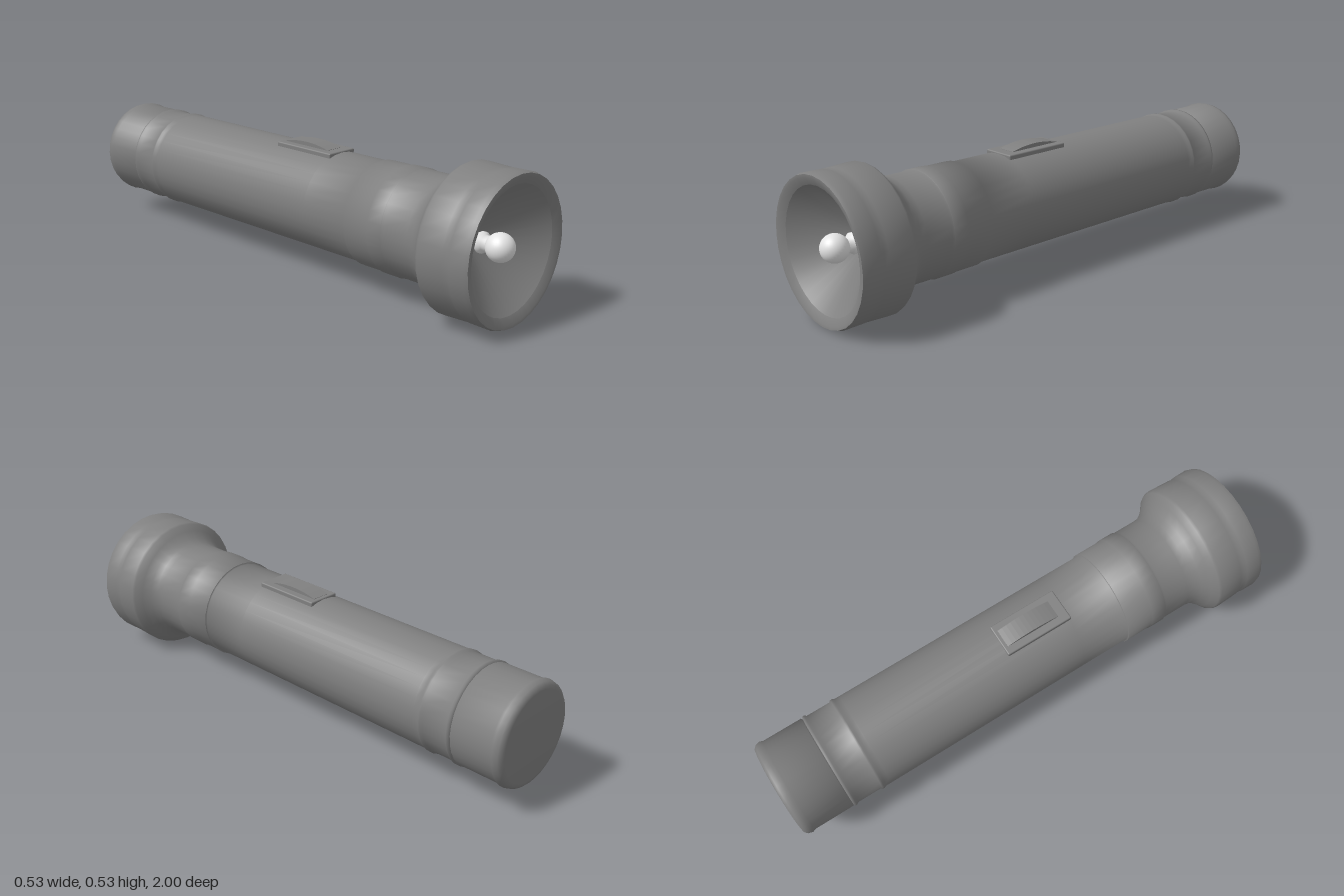
import * as THREE from 'three';
import { RoundedBoxGeometry } from 'three/addons/geometries/RoundedBoxGeometry.js';

const AXIS_Y = 0.27;
const SIDES = 32;

// Turned part along z from [radius, z] points, rear to front.
// Normals average both neighbouring slopes equally, giving soft shaded steps.
function turned(name, profile, material) {
  const pts = profile.map(([r, z]) => new THREE.Vector2(r, z));
  const geo = new THREE.LatheGeometry(pts, SIDES);
  const slopes = pts.slice(1).map((p, i) =>
    new THREE.Vector2(p.y - pts[i].y, pts[i].x - p.x).normalize());
  const n = pts.length;
  for (let i = 0; i <= SIDES; i++) {
    const a = (i / SIDES) * Math.PI * 2;
    for (let j = 0; j < n; j++) {
      const s = slopes[Math.max(j - 1, 0)].clone().add(slopes[Math.min(j, n - 2)]).normalize();
      geo.attributes.normal.setXYZ(i * n + j, s.x * Math.sin(a), s.y, s.x * Math.cos(a));
    }
  }
  geo.rotateX(Math.PI / 2);
  const mesh = new THREE.Mesh(geo, material);
  mesh.name = name;
  mesh.position.y = AXIS_Y;
  return mesh;
}

export function createModel() {
  const casing = new THREE.MeshStandardMaterial({ color: 0x808080 });
  casing.name = 'grey casing';
  const glass = new THREE.MeshStandardMaterial({ color: 0xe4e4e4 });
  glass.name = 'white bulb';

  const group = new THREE.Group();
  group.name = 'flashlight';

  // Tail cap with a small bead at its rear edge
  group.add(turned('tailCap', [
    [0, -1], [0.165, -1], [0.178, -0.998], [0.188, -0.988], [0.193, -0.97],
    [0.188, -0.958], [0.188, -0.8], [0.18, -0.795],
  ], casing));

  // Barrel with two beads near the rear and a step at the front
  group.add(turned('barrel', [
    [0.18, -0.797], [0.192, -0.793], [0.192, -0.785], [0.186, -0.777],
    [0.186, -0.682], [0.192, -0.676], [0.192, -0.668], [0.188, -0.66],
    [0.188, -0.64], [0.188, 0.22], [0.188, 0.419], [0.195, 0.421],
  ], casing));

  // Collar between barrel and head
  group.add(turned('collar', [
    [0.188, 0.419], [0.194, 0.421], [0.194, 0.525], [0.197, 0.53],
    [0.197, 0.59], [0.192, 0.597],
  ], casing));

  // Flared head
  group.add(turned('head', [
    [0.197, 0.588], [0.193, 0.6], [0.193, 0.7], [0.198, 0.728], [0.212, 0.752],
    [0.236, 0.778], [0.261, 0.797], [0.266, 0.807], [0.262, 0.9],
    [0.259, 0.915], [0.263, 0.93], [0.264, 0.985], [0.259, 1],
  ], casing));

  // Front rim and conical reflector
  group.add(turned('rim', [[0.259, 1], [0.248, 0.999], [0.222, 0.985]], casing));
  group.add(turned('reflector', [[0.222, 0.985], [0.035, 0.82], [0, 0.82]], casing));

  // Bulb and its socket
  group.add(turned('bulbSocket', [
    [0.03, 0.82], [0.03, 0.855], [0.037, 0.858], [0.037, 0.87], [0.028, 0.875], [0.028, 0.91],
  ], glass));
  const bulb = new THREE.Mesh(new THREE.SphereGeometry(0.05, 32, 20), glass);
  bulb.name = 'bulb';
  bulb.position.set(0, AXIS_Y, 0.935);
  group.add(bulb);

  // Switch plate
  const plate = new THREE.Mesh(new RoundedBoxGeometry(0.13, 0.024, 0.275, 2, 0.005), casing);
  plate.name = 'switchPlate';
  plate.position.set(0, 0.451, 0.092);
  group.add(plate);

  // Curved rocker button
  const arc = new THREE.Shape();
  arc.moveTo(-0.11, -0.01);
  arc.lineTo(0.11, -0.01);
  arc.lineTo(0.11, 0.002);
  arc.quadraticCurveTo(0, 0.03, -0.11, 0.002);
  arc.closePath();
  const rockerGeo = new THREE.ExtrudeGeometry(arc, { depth: 0.072, bevelEnabled: false, curveSegments: 12 });
  rockerGeo.translate(0, 0, -0.036).rotateY(Math.PI / 2);
  const rocker = new THREE.Mesh(rockerGeo, casing);
  rocker.name = 'switchButton';
  rocker.position.set(0, 0.462, 0.08);
  group.add(rocker);

  return group;
}
